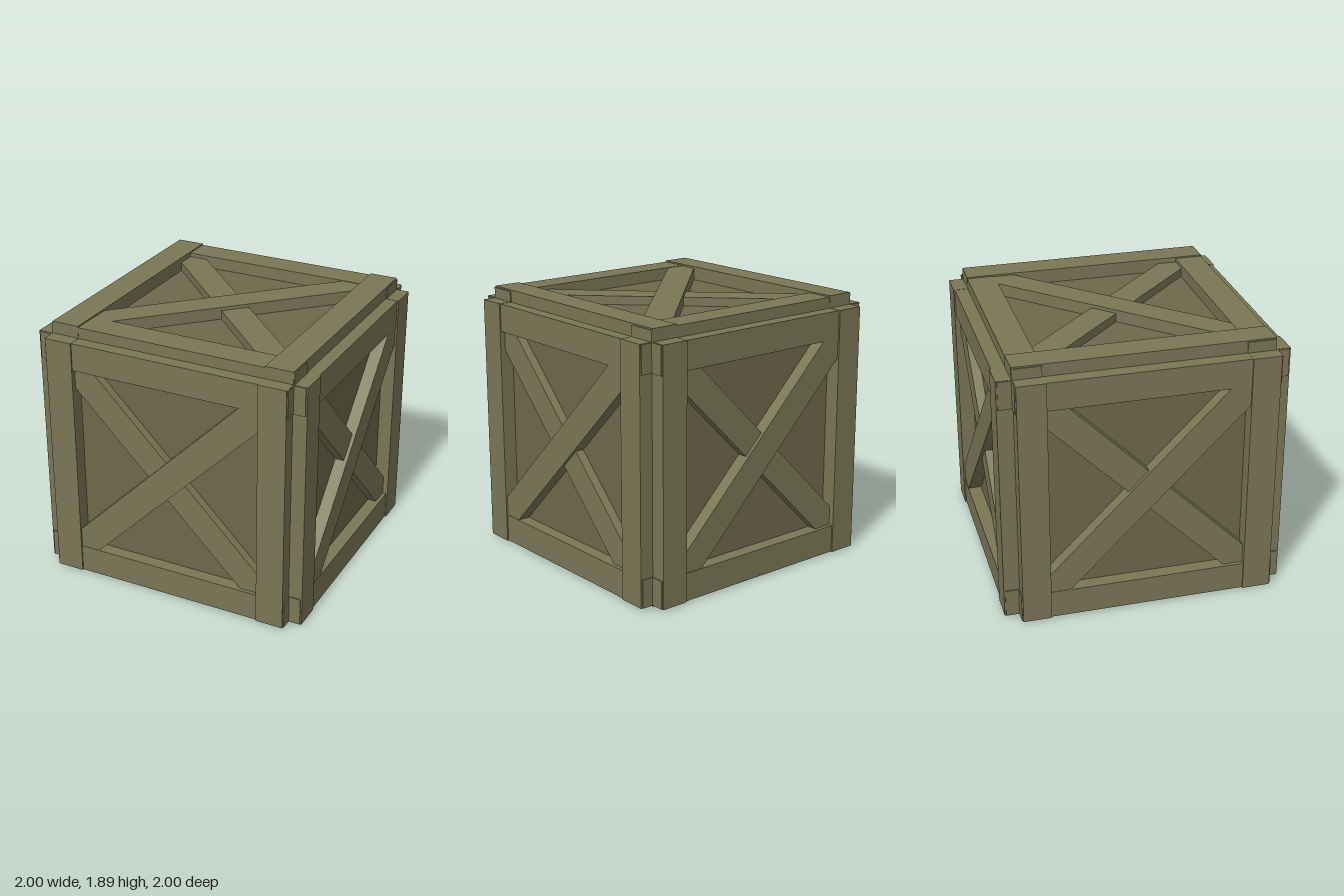
import * as THREE from 'three';

const timber = new THREE.MeshStandardMaterial({ color: 0x7a7656, flatShading: true });
const panel = new THREE.MeshStandardMaterial({ color: 0x6f684c, flatShading: true });

function box(name, w, h, d, x, y, z, material = timber) {
  const mesh = new THREE.Mesh(new THREE.BoxGeometry(w, h, d), material);
  mesh.name = name;
  mesh.position.set(x, y, z);
  return mesh;
}

// One framed face looking along +z: its inner surface lies at z = 0
function framedFace(name) {
  const face = new THREE.Group();
  face.name = name;
  for (const s of [-1, 1]) {
    face.add(box('stile', 0.2, 1.794, 0.12, s * 0.795, 0, 0.04));
    face.add(box('rail', 1.806, 0.2, 0.11, 0, s * 0.795, 0.035));
  }
  // Crossed braces, one standing prouder than the other
  const upper = box('upperBrace', 2.2, 0.2, 0.1, 0, 0, 0.037);
  upper.rotation.z = Math.PI / 4;
  const lower = box('lowerBrace', 2.2, 0.2, 0.08, 0, 0, 0.022);
  lower.rotation.z = -Math.PI / 4;
  face.add(upper, lower);
  return face;
}

export function createModel() {
  const crate = new THREE.Group();
  crate.name = 'crate';
  const mid = 0.906;

  // Inner box carrying the recessed panels, and the plain base
  crate.add(box('innerPanels', 1.79, 1.775, 1.79, 0.003, mid - 0.004, 0.003, panel));
  crate.add(box('base', 1.8, 0.04, 1.8, 0.004, 0.02, 0.004));

  // Four sides
  ['frontFace', 'leftFace', 'backFace', 'rightFace'].forEach((name, i) => {
    const face = framedFace(name);
    const a = i * Math.PI / 2;
    const nx = Math.round(Math.sin(a)), nz = Math.round(Math.cos(a));
    face.rotation.y = a;
    face.position.set(nx ? nx * 0.9 : 0.005, mid, nz ? nz * 0.9 : 0.005);
    crate.add(face);
  });

  // Lid
  const lid = framedFace('topFace');
  lid.rotation.x = -Math.PI / 2;
  lid.position.set(0.005, 1.79, 0);
  crate.add(lid);
  return crate;
}
